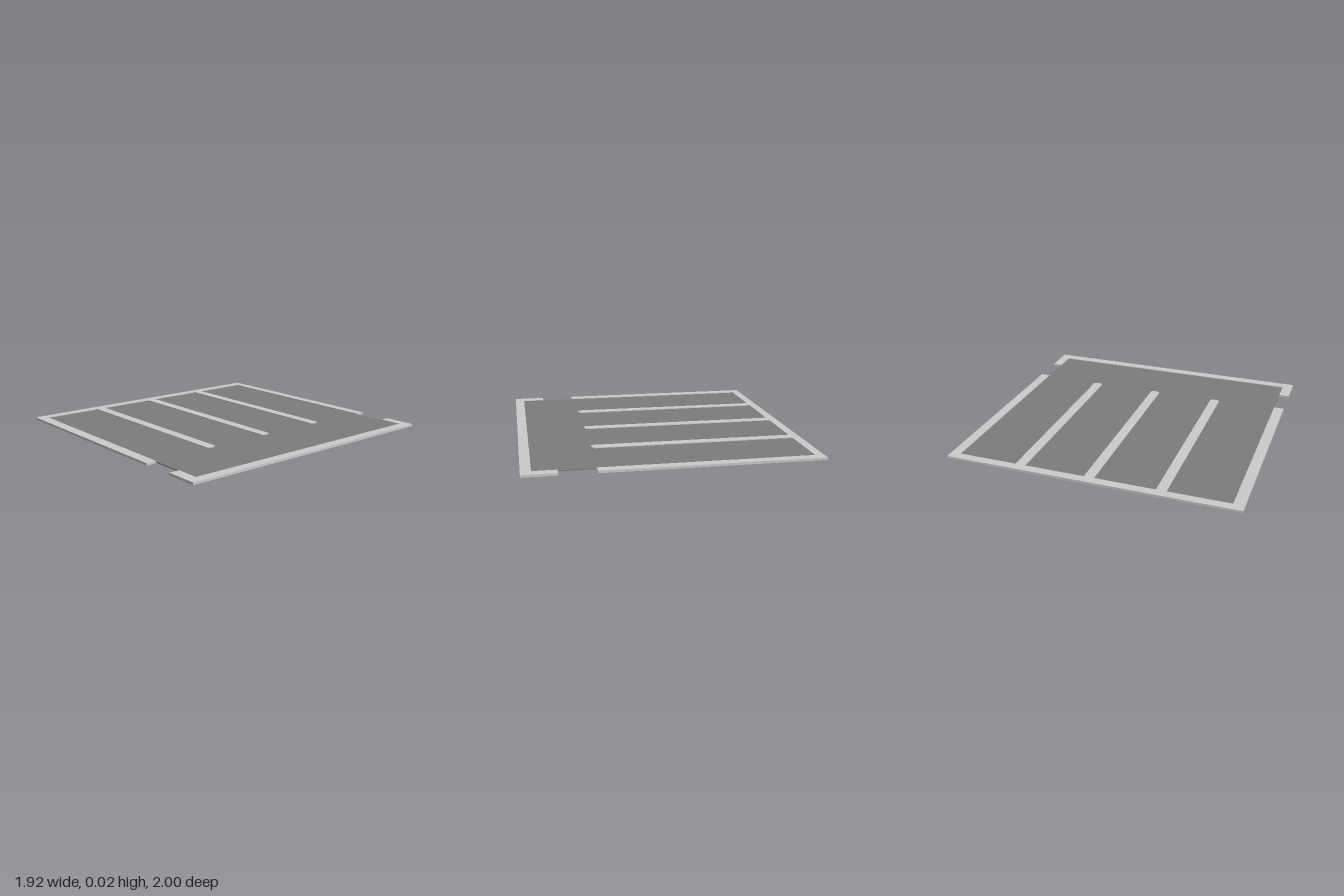
import * as THREE from 'three';

const H = 0.016; // overall thickness

// Extrudes an outline drawn in (x, z) into a flat slab between heights y0 and y1.
function slab(name, points, y0, y1, color) {
  const shape = new THREE.Shape(points.map(([x, z]) => new THREE.Vector2(x, z)));
  const geometry = new THREE.ExtrudeGeometry(shape, { depth: y1 - y0, bevelEnabled: false });
  geometry.rotateX(Math.PI / 2).translate(0, y1, 0);
  const mesh = new THREE.Mesh(geometry, new THREE.MeshStandardMaterial({ color }));
  mesh.name = name;
  return mesh;
}

export function createModel() {
  const group = new THREE.Group();
  group.name = 'baySlab';

  const X = 0.96, Z = 1;                 // outer edge
  const left = -0.9, right = 0.893;      // inner edges of the border
  const back = -0.934, front = 0.928;
  const gapStart = 0.5, gapEnd = 0.735;  // openings in the border

  // Dark floor, sunk below the border on both faces
  group.add(slab('floor', [[left, back], [right, back], [right, front], [left, front]],
    0.005, 0.011, 0x7c7c7c));

  // Left border with three divider strips, one comb-shaped outline
  const comb = [[gapStart, -Z], [gapStart, back], [left, back]];
  const half = 0.034;
  for (const z of [-0.488, -0.005, 0.476]) {
    comb.push([left, z - half], [0.468, z - half]);
    // softly rounded tip
    for (let i = 1; i < 8; i++) {
      const a = -Math.PI / 2 + (i / 8) * Math.PI;
      comb.push([0.468 + 0.017 * Math.cos(a), z + half * Math.sin(a)]);
    }
    comb.push([0.468, z + half], [left, z + half]);
  }
  comb.push([left, front], [gapStart, front], [gapStart, Z], [-X, Z], [-X, -Z]);
  group.add(slab('borderAndDividers', comb, 0, H, 0xcccccc));

  // Right border bracket beyond the openings
  group.add(slab('endBorder', [
    [gapEnd, -Z], [X, -Z], [X, Z], [gapEnd, Z],
    [gapEnd, front], [right, front], [right, back], [gapEnd, back],
  ], 0, H, 0xcccccc));

  return group;
}
